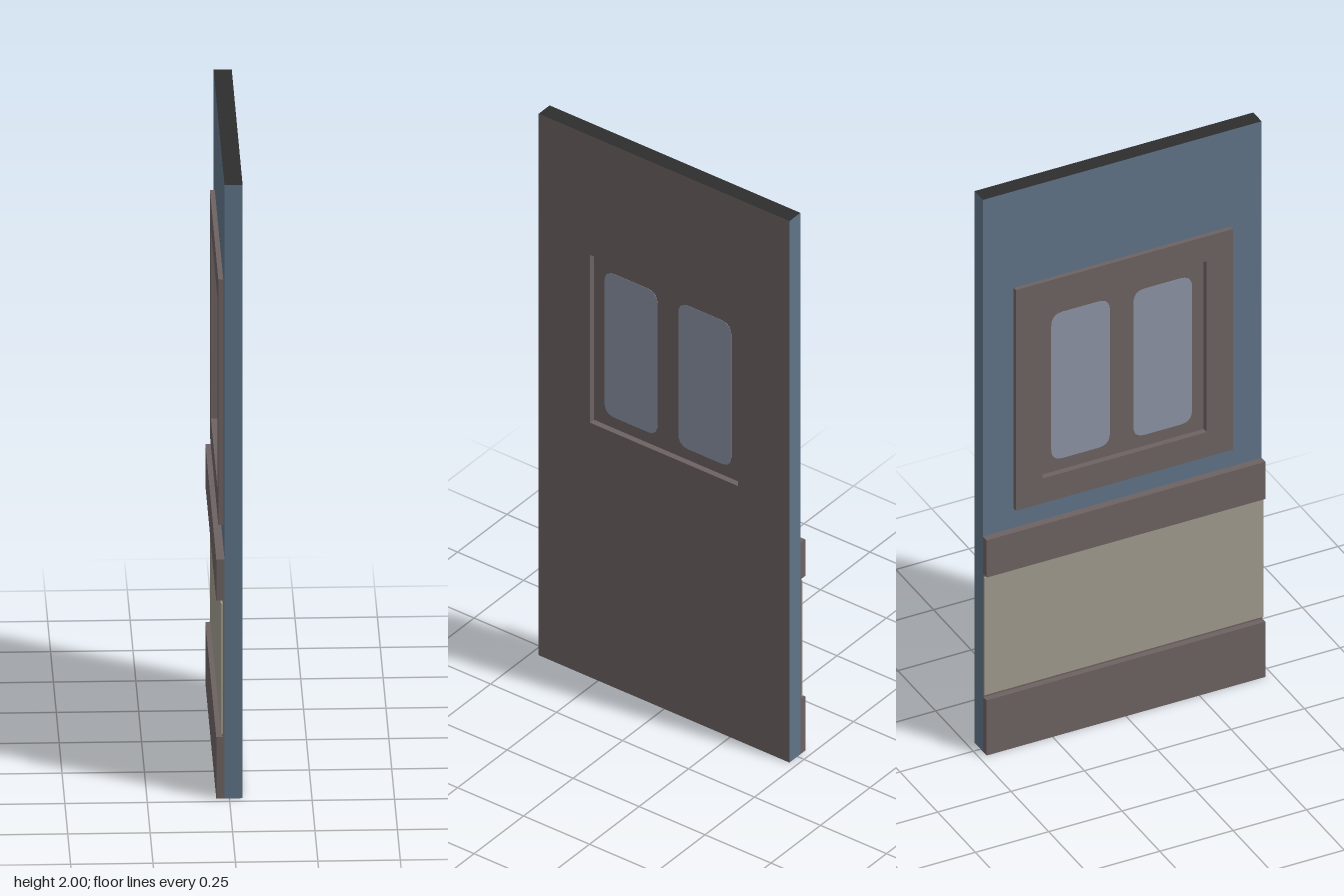
import * as THREE from 'three';

const mat = (name, color) => {
  const m = new THREE.MeshStandardMaterial({ color });
  m.name = name;
  return m;
};

// Rectangle in the (z, y) plane, with optional corner radius
function rect(path, z0, z1, y0, y1, r = 0) {
  if (!r) {
    path.moveTo(z0, y0).lineTo(z1, y0).lineTo(z1, y1).lineTo(z0, y1).closePath();
    return path;
  }
  path.moveTo(z0 + r, y0);
  path.lineTo(z1 - r, y0).quadraticCurveTo(z1, y0, z1, y0 + r);
  path.lineTo(z1, y1 - r).quadraticCurveTo(z1, y1, z1 - r, y1);
  path.lineTo(z0 + r, y1).quadraticCurveTo(z0, y1, z0, y1 - r);
  path.lineTo(z0, y0 + r).quadraticCurveTo(z0, y0, z0 + r, y0);
  return path;
}

// Extrude a shape along x from x0 to x1
function slab(shape, x0, x1) {
  const g = new THREE.ExtrudeGeometry(shape, { depth: x1 - x0, bevelEnabled: false, curveSegments: 5 });
  return g.rotateY(Math.PI / 2).translate(x0, 0, 0);
}

// Assign a material index to each triangle from its centre and normal
function paint(g, pick) {
  g.clearGroups();
  const p = g.attributes.position;
  const tri = new THREE.Triangle(), c = new THREE.Vector3(), n = new THREE.Vector3();
  for (let i = 0; i < p.count; i += 3) {
    tri.setFromAttributeAndIndices(p, i, i + 1, i + 2);
    tri.getMidpoint(c);
    tri.getNormal(n);
    g.addGroup(i, 3, pick(c, n));
  }
  return g;
}

export function createModel() {
  const group = new THREE.Group();
  const brown = mat('brown', 0x6d6262);
  const blue = mat('blue', 0x5f7387);
  const black = mat('black', 0x2e2e2e);
  const beige = mat('beige', 0x9f9a8c);
  const glass = mat('glass', 0x8b92a2);

  const W = 0.475, BACK = -0.015;
  const add = (name, geometry, material) => {
    const m = new THREE.Mesh(geometry, material);
    m.name = name;
    group.add(m);
  };
  const box = (name, x0, x1, y0, y1, w, material) => {
    const g = new THREE.BoxGeometry(x1 - x0, y1 - y0, 2 * w);
    add(name, g.translate((x0 + x1) / 2, (y0 + y1) / 2, 0), material);
  };
  const opening = () => rect(new THREE.Path(), -0.28, 0.28, 0.94, 1.56);

  // Wall with the window opening: brown face, blue back and edges, black top
  const wall = rect(new THREE.Shape(), -W, W, 0, 2);
  wall.holes.push(opening());
  add('wall', paint(slab(wall, BACK, 0.04), (c, n) => {
    if (n.x > 0.5) return 0;
    if (n.x < -0.5) return 1;
    if (c.y > 1.9) return 2;
    return Math.abs(c.z) > 0.4 ? 1 : 0;
  }), [brown, blue, black]);

  // Raised surround on the back of the window
  const surround = rect(new THREE.Shape(), -0.37, 0.37, 0.85, 1.65);
  surround.holes.push(opening());
  add('windowSurround', slab(surround, -0.03, BACK), brown);

  // Recessed sash with two rounded panes
  box('windowSash', -0.01, 0.02, 0.94, 1.56, 0.28, brown);
  for (const s of [-1, 1]) {
    const pane = rect(new THREE.Shape(), s * 0.14 - 0.1, s * 0.14 + 0.1, 0.98, 1.51, 0.04);
    for (const x of [-0.011, 0.02]) add('windowPane', slab(pane, x, x + 0.001), glass);
  }

  // Wainscot on the back
  box('baseboard', -0.04, BACK, 0, 0.2, W, brown);
  box('chairRail', -0.04, BACK, 0.645, 0.78, W, brown);
  box('panelBacking', -0.02, BACK, 0.2, 0.645, W, brown);
  box('wainscotPanel', -0.026, -0.02, 0.21, 0.635, W, beige);
  return group;
}
